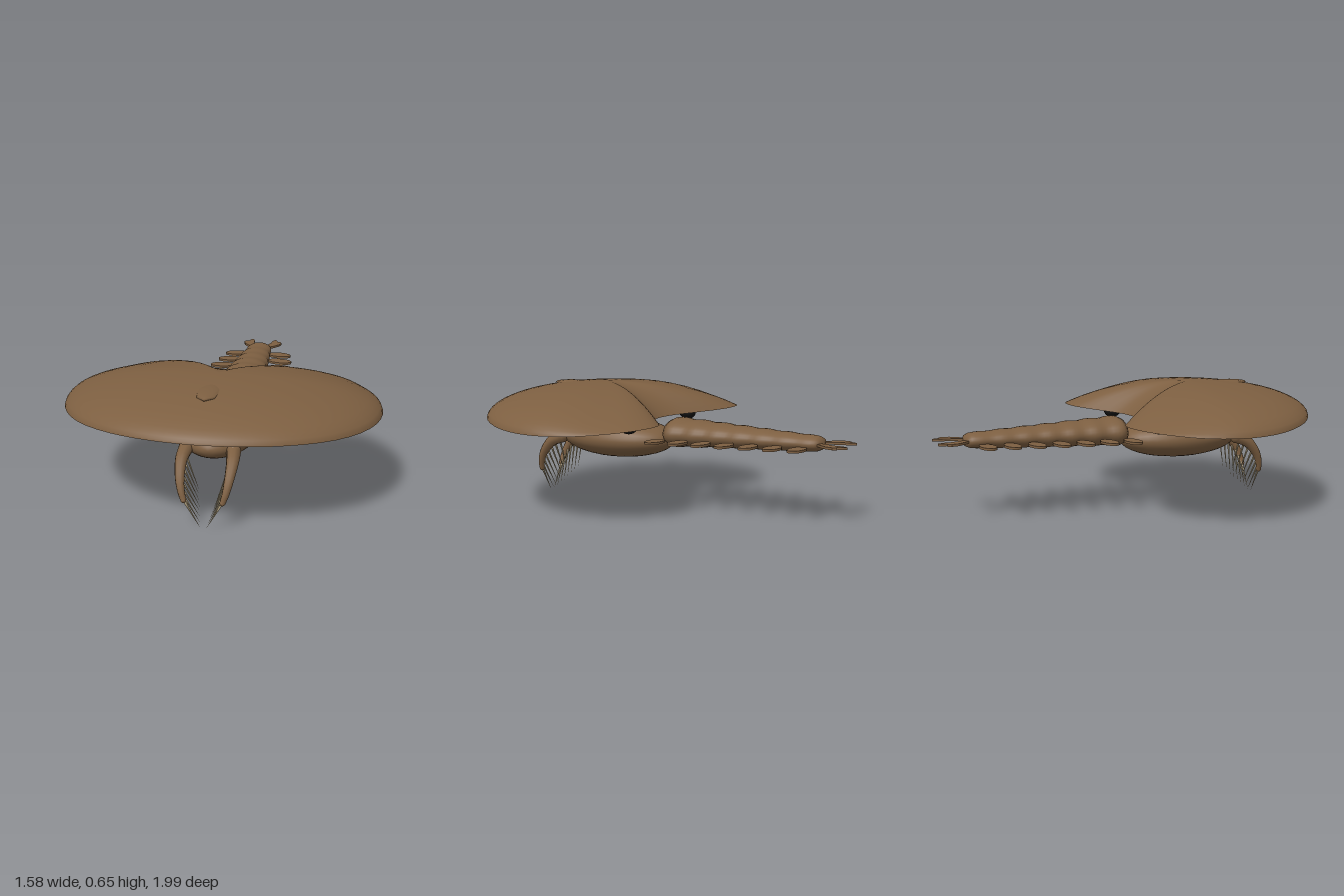
import * as THREE from 'three';

const mat = (name, color, side = THREE.FrontSide) => {
  const m = new THREE.MeshStandardMaterial({ color, side });
  m.name = name;
  return m;
};

// Smooth surface through closed rings of Vector3, counterclockwise seen from the start
function loft(rings) {
  const n = rings[0].length, pos = [], idx = [];
  rings.forEach(r => r.forEach(p => pos.push(p.x, p.y, p.z)));
  for (let i = 0; i < rings.length - 1; i++) {
    for (let j = 0; j < n; j++) {
      const k = (j + 1) % n, a = i * n + j, b = i * n + k;
      idx.push(a, a + n, b + n, a, b + n, b);
    }
  }
  const g = new THREE.BufferGeometry();
  g.setAttribute('position', new THREE.Float32BufferAttribute(pos, 3));
  g.setIndex(idx);
  g.computeVertexNormals();
  return g;
}

// Tube whose radius shrinks along the curve
function taperedTube(curve, r0, r1, segments = 14, sides = 10) {
  const g = new THREE.TubeGeometry(curve, segments, 1, sides);
  const p = g.attributes.position, v = new THREE.Vector3();
  for (let i = 0; i <= segments; i++) {
    const c = curve.getPointAt(i / segments);
    const r = THREE.MathUtils.lerp(r0, r1, i / segments);
    for (let j = 0; j <= sides; j++) {
      const k = i * (sides + 1) + j;
      v.fromBufferAttribute(p, k).sub(c).multiplyScalar(r).add(c);
      p.setXYZ(k, v.x, v.y, v.z);
    }
  }
  return g;
}

export function createModel() {
  const model = new THREE.Group();
  model.name = 'swimmingArthropod';
  const brown = mat('shellBrown', 0x7d5f41);
  const black = mat('eyeBlack', 0x111111);
  const tan = mat('spineTan', 0xb5a482);
  const add = (name, geometry, material, parent = model) => {
    const m = new THREE.Mesh(geometry, material);
    m.name = name;
    parent.add(m);
    return m;
  };

  // Carapace: wide kidney outline, notched at the back
  const half = [[0, 0.99], [0.2, 0.965], [0.4, 0.89], [0.6, 0.745], [0.74, 0.54], [0.79, 0.33],
    [0.755, 0.12], [0.67, -0.02], [0.57, -0.115], [0.46, -0.15], [0.36, -0.135],
    [0.24, -0.05], [0.12, 0.035], [0, 0.062]];
  const outlinePts = [...half, ...half.slice(1, -1).reverse().map(([x, z]) => [-x, z])]
    .map(([x, z]) => new THREE.Vector3(x, 0, z));
  const outline = new THREE.CatmullRomCurve3(outlinePts, true).getPoints(78).slice(0, 78);
  const rimY = z => 0.465 + 0.12 * (z - 0.33) ** 2;
  const cz = 0.4, topY = 0.653;
  const ring = (t, height) => outline.map(p => {
    const back = THREE.MathUtils.smoothstep((cz - p.z) / Math.hypot(p.x, p.z - cz), 0.1, 0.8);
    return new THREE.Vector3(p.x * t, height(t, rimY(p.z), back), cz + (p.z - cz) * t);
  });
  const dome = (t, rim, back) => rim + (topY - rim) * Math.pow(1 - t * t, 0.56 + 0.44 * back);
  const under = (t, rim) => THREE.MathUtils.lerp(0.458, rim, t);
  const steps = [0.001, 0.1, 0.2, 0.3, 0.4, 0.5, 0.6, 0.7, 0.78, 0.85, 0.91, 0.95, 0.98, 0.994, 1];
  add('carapaceTop', loft(steps.map(t => ring(t, dome))), brown);
  add('carapaceUnderside', loft([1, 0.75, 0.5, 0.25, 0.001].map(t => ring(t, under))), brown);

  // Low keel on the dome
  const keel = add('dorsalKeel', new THREE.SphereGeometry(1, 8, 8), brown);
  keel.scale.set(0.06, 0.018, 0.13);
  keel.position.set(0, 0.631, 0.615);

  // Head body below the carapace
  const body = add('headBody', new THREE.SphereGeometry(1, 32, 20), brown);
  body.geometry.rotateX(Math.PI / 2);
  body.scale.set(0.2, 0.109, 0.34);
  body.position.set(0, 0.354, 0.33);

  // Segmented trunk with gentle swellings
  const profile = [new THREE.Vector2(0, 0), new THREE.Vector2(0.115, 0.003)];
  for (let i = 1; i <= 40; i++) {
    const d = 0.01 + i * 0.0202;
    const swell = 1 + 0.04 * Math.cos((d - 0.06) / 0.12 * Math.PI * 2);
    profile.push(new THREE.Vector2((0.14 - 0.088 * d) * swell, d));
  }
  profile.push(new THREE.Vector2(0.05, 0.84), new THREE.Vector2(0, 0.847));
  const trunkGeo = new THREE.LatheGeometry(profile, 28).rotateX(-Math.PI / 2).scale(1, 0.56, 1);
  add('trunk', trunkGeo, brown).position.set(0, 0.405, -0.01);

  const paddleGeo = new THREE.CylinderGeometry(1, 1, 1, 14);
  const eyeGeo = new THREE.SphereGeometry(0.046, 16, 12);

  for (const s of [1, -1]) {
    const side = new THREE.Group();
    side.name = s > 0 ? 'leftSide' : 'rightSide';
    model.add(side);

    // Eye under the rear lobe
    const eye = add('eye', eyeGeo, black, side);
    eye.scale.y = 0.8;
    eye.position.set(s * 0.315, 0.463, 0.07);

    // Swimming paddles, shorter toward the tail
    for (let i = 0; i < 7; i++) {
      const paddle = add('paddle', paddleGeo, brown, side);
      paddle.scale.set(0.07, 0.012, 0.039);
      paddle.position.set(s * (0.252 - i * 0.0208), 0.386, -0.045 - i * 0.12);
      paddle.rotation.y = -s * 0.14;
    }

    // Forked tail blade
    const blade = new THREE.Shape([[0.02, 0.82], [0.03, 0.87], [0.053, 0.93], [0.055, 0.97], [0.07, 1.0],
      [0.083, 0.985], [0.088, 0.955], [0.105, 0.96], [0.115, 0.94], [0.107, 0.905], [0.085, 0.875],
      [0.045, 0.83]].map(([x, y]) => new THREE.Vector2((x - 0.0) * s, y)));
    const bladeGeo = new THREE.ExtrudeGeometry(blade, { depth: 0.012, bevelEnabled: false });
    add('tailBlade', bladeGeo.rotateX(-Math.PI / 2), brown, side).position.y = 0.399;

    // Curved grasping limb
    const curve = new THREE.CatmullRomCurve3([[0.115, 0.345, 0.625], [0.122, 0.315, 0.69],
      [0.117, 0.25, 0.75], [0.106, 0.19, 0.777], [0.093, 0.148, 0.785]]
      .map(([x, y, z]) => new THREE.Vector3(s * x, y, z)));
    add('graspingLimb', taperedTube(curve, 0.036, 0.014), brown, side);
    [[0, 0.036], [1, 0.014]].forEach(([t, r]) =>
      add('limbEnd', new THREE.SphereGeometry(r, 12, 8), brown, side).position.copy(curve.getPointAt(t)));

    // Comb of long spines pointing down and inward
    for (let i = 0; i < 8; i++) {
      const t = i / 7;
      const start = curve.getPointAt(0.08 + 0.9 * t);
      const tip = new THREE.Vector3(s * (0.05 - 0.038 * t), 0.135 - 0.13 * t, 0.64 + 0.143 * t);
      const dir = tip.clone().sub(start);
      const spine = add('spine', new THREE.ConeGeometry(0.007, dir.length(), 6), tan, side);
      spine.position.copy(start).addScaledVector(dir, 0.5);
      spine.quaternion.setFromUnitVectors(new THREE.Vector3(0, 1, 0), dir.normalize());
    }
  }
  return model;
}
